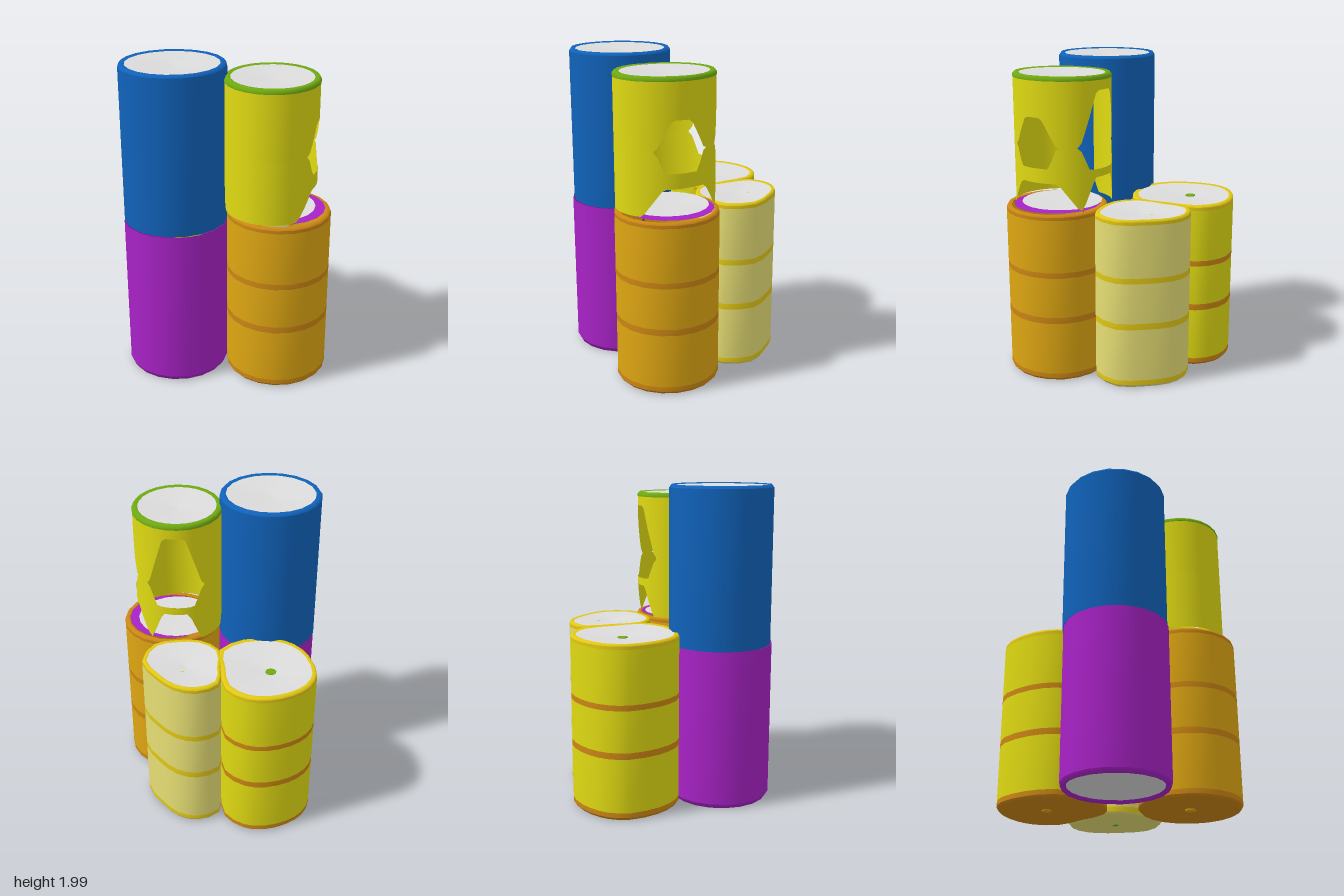
import * as THREE from 'three';

const mat = (name, color) => {
  const m = new THREE.MeshStandardMaterial({ color, side: THREE.DoubleSide });
  m.name = name;
  return m;
};

export function createModel() {
  const blue = mat('blue', 0x1062ba), purple = mat('purple', 0xa822c6);
  const yellow = mat('yellow', 0xe0da12), gold = mat('gold', 0xe2c814);
  const orange = mat('orange', 0xdea612), amber = mat('dark orange', 0xcc8614);
  const pale = mat('pale yellow', 0xe6de74), green = mat('green', 0x70aa12);
  const white = mat('white', 0xdcdcdc);
  const model = new THREE.Group();

  // Plan outlines, listed from +x towards +z
  const ellipse = (cx, cz, rx, rz = rx, n = 20) =>
    Array.from({ length: n }, (_, i) => {
      const a = (i / n) * Math.PI * 2;
      return [cx + rx * Math.cos(a), cz + rz * Math.sin(a)];
    });
  const spline = (pts) => {
    const c = new THREE.CatmullRomCurve3(pts.map(([x, z]) => new THREE.Vector3(x, 0, z)), true, 'centripetal');
    return c.getPoints(pts.length * 2).slice(0, -1).map((p) => [p.x, p.z]);
  };

  // Surface through scaled copies of an outline; levels are [y, scale]
  function loft(group, name, material, outline, levels) {
    const n = outline.length, pos = [], idx = [];
    const cx = outline.reduce((s, p) => s + p[0], 0) / n;
    const cz = outline.reduce((s, p) => s + p[1], 0) / n;
    for (const [y, s] of levels)
      for (const [x, z] of outline) pos.push(cx + (x - cx) * s, y, cz + (z - cz) * s);
    for (let k = 0; k < levels.length - 1; k++)
      for (let i = 0; i < n; i++) {
        const a = k * n + i, b = k * n + ((i + 1) % n);
        idx.push(a, a + n, b, b, a + n, b + n);
      }
    addMesh(group, name, material, pos, idx);
  }
  function addMesh(group, name, material, pos, idx) {
    const g = new THREE.BufferGeometry();
    g.setAttribute('position', new THREE.Float32BufferAttribute(pos, 3));
    g.setIndex(idx);
    g.computeVertexNormals();
    const mesh = new THREE.Mesh(g, material);
    mesh.name = name;
    group.add(mesh);
  }
  function part(name) {
    const g = new THREE.Group();
    g.name = name;
    model.add(g);
    return g;
  }
  function dot(group, name, material, x, y, z, r) {
    const m = new THREE.Mesh(new THREE.CylinderGeometry(r, r, 0.006, 8), material);
    m.name = name;
    m.position.set(x, y, z);
    group.add(m);
  }

  // Banded barrel with coloured rims, sides and base
  function barrel(name, outline, body, band, rim, base) {
    const g = part(name);
    const cuts = [0.03, 0.06, 0.4, 0.44, 0.7, 0.735, 1.07, 1.09];
    const stripes = [band, body, band, body, band, body, rim];
    stripes.forEach((m, i) =>
      loft(g, m === body ? 'barrelSide' : 'barrelBand', m, outline, [[cuts[i], 1], [cuts[i + 1], 1]]));
    loft(g, 'barrelBase', base, outline, [[0.02, 0], [0.012, 0.95], [0.03, 1]]);
    loft(g, 'barrelRim', rim, outline, [[1.09, 1], [1.105, 0.97], [1.1, 0.9]]);
    return g;
  }

  // Front right barrel
  const orangeBarrel = barrel('orangeBarrel', ellipse(0.32, 0.32, 0.32), orange, amber, amber, amber);
  loft(orangeBarrel, 'purpleLid', purple, ellipse(0.33, 0.31, 0.275), [[1.108, 1], [1.106, 0]]);
  loft(orangeBarrel, 'whiteLid', white, ellipse(0.29, 0.3, 0.255), [[1.115, 1], [1.11, 0]]);
  dot(orangeBarrel, 'baseDot', orange, 0.32, 0.016, 0.32, 0.035);

  // Back left barrel
  const backOutline = spline([[0.02, -0.3], [0.02, -0.1], [-0.14, 0.01], [-0.35, 0.01], [-0.47, -0.06], [-0.55, -0.2],
    [-0.57, -0.4], [-0.51, -0.52], [-0.4, -0.6], [-0.25, -0.64], [-0.12, -0.62], [0, -0.51]]);
  const yellowBarrel = barrel('yellowBarrel', backOutline, yellow, amber, gold, amber);
  loft(yellowBarrel, 'lid', white, backOutline, [[1.1, 0.9], [1.08, 0]]);
  dot(yellowBarrel, 'lidDot', green, -0.29, 1.084, -0.34, 0.034);
  dot(yellowBarrel, 'baseDot', orange, -0.28, 0.018, -0.32, 0.03);

  // Back right barrel
  const paleOutline = spline([[0.51, -0.2], [0.44, -0.02], [0.3, 0.02], [0.14, 0.01], [0.02, -0.1],
    [0.02, -0.3], [0.04, -0.47], [0.18, -0.53], [0.31, -0.49], [0.42, -0.37]]);
  const paleBarrel = barrel('paleBarrel', paleOutline, pale, gold, gold, pale);
  loft(paleBarrel, 'lid', white, paleOutline, [[1.1, 0.9], [1.08, 0]]);
  dot(paleBarrel, 'lidDot', gold, 0.26, 1.084, -0.32, 0.012);
  dot(paleBarrel, 'baseDot', green, 0.26, 0.018, -0.26, 0.02);

  // Tall two-colour column
  const column = part('tallColumn');
  const lower = ellipse(-0.32, 0.31, 0.322), upper = ellipse(-0.32, 0.3, 0.322);
  loft(column, 'columnFoot', purple, lower, [[0.03, 0.88], [0.012, 0.95], [0.04, 1]]);
  loft(column, 'columnBase', white, lower, [[0.06, 0], [0.03, 0.88]]);
  loft(column, 'columnLower', purple, lower, [[0.04, 1], [1.015, 1]]);
  loft(column, 'columnUpper', blue, upper, [[1.015, 1], [1.98, 1]]);
  loft(column, 'columnRim', blue, upper, [[1.98, 1], [1.998, 0.96], [1.992, 0.88]]);
  loft(column, 'columnLid', white, upper, [[1.992, 0.88], [1.97, 0]]);

  // Pierced shell on the orange barrel: openings are [centre, half width, low, high] in degrees and heights
  const shell = part('piercedShell');
  const feet = [[3, 50, 0, 0.17], [-85, 34, 0, 0.2], [180, 18, 0, 0.16]];
  const windows = [[8, 29, 1.37, 1.68], [-85, 37, 1.36, 1.84]];
  const bottom = 1.11, top = 1.9, N = 72;
  const openness = (deg, [c, half]) => {
    const d = Math.abs(((deg - c + 540) % 360) - 180);
    return Math.max(0, 1 - d / half);
  };
  const edges = (deg) => {
    let foot = bottom, lo = 1.5, hi = 1.5;
    for (const f of feet) foot += f[3] * Math.min(1, 2 * openness(deg, f));
    for (const w of windows) {
      const t = openness(deg, w), mid = 1.5;
      lo += (w[2] - mid) * Math.min(1, 3 * t);
      hi += (w[3] - mid) * Math.min(1, 1.6 * t);
    }
    return [foot, lo, hi, top];
  };
  const pos = [], idx = [];
  for (let i = 0; i < N; i++) {
    const deg = (i * 360) / N, a = (deg * Math.PI) / 180;
    for (const y of edges(deg)) pos.push(0.267 + 0.282 * Math.cos(a), y, 0.3 + 0.312 * Math.sin(a));
    const p = i * 4, q = ((i + 1) % N) * 4;
    for (const k of [0, 2]) idx.push(p + k, p + k + 1, q + k, q + k, p + k + 1, q + k + 1);
  }
  addMesh(shell, 'shellWall', yellow, pos, idx);
  const shellTop = ellipse(0.267, 0.3, 0.285, 0.315, 24);
  loft(shell, 'shellRim', green, shellTop, [[1.9, 1], [1.915, 1], [1.93, 0.96], [1.925, 0.87]]);
  loft(shell, 'shellLid', white, shellTop, [[1.925, 0.87], [1.905, 0]]);

  return model;
}
